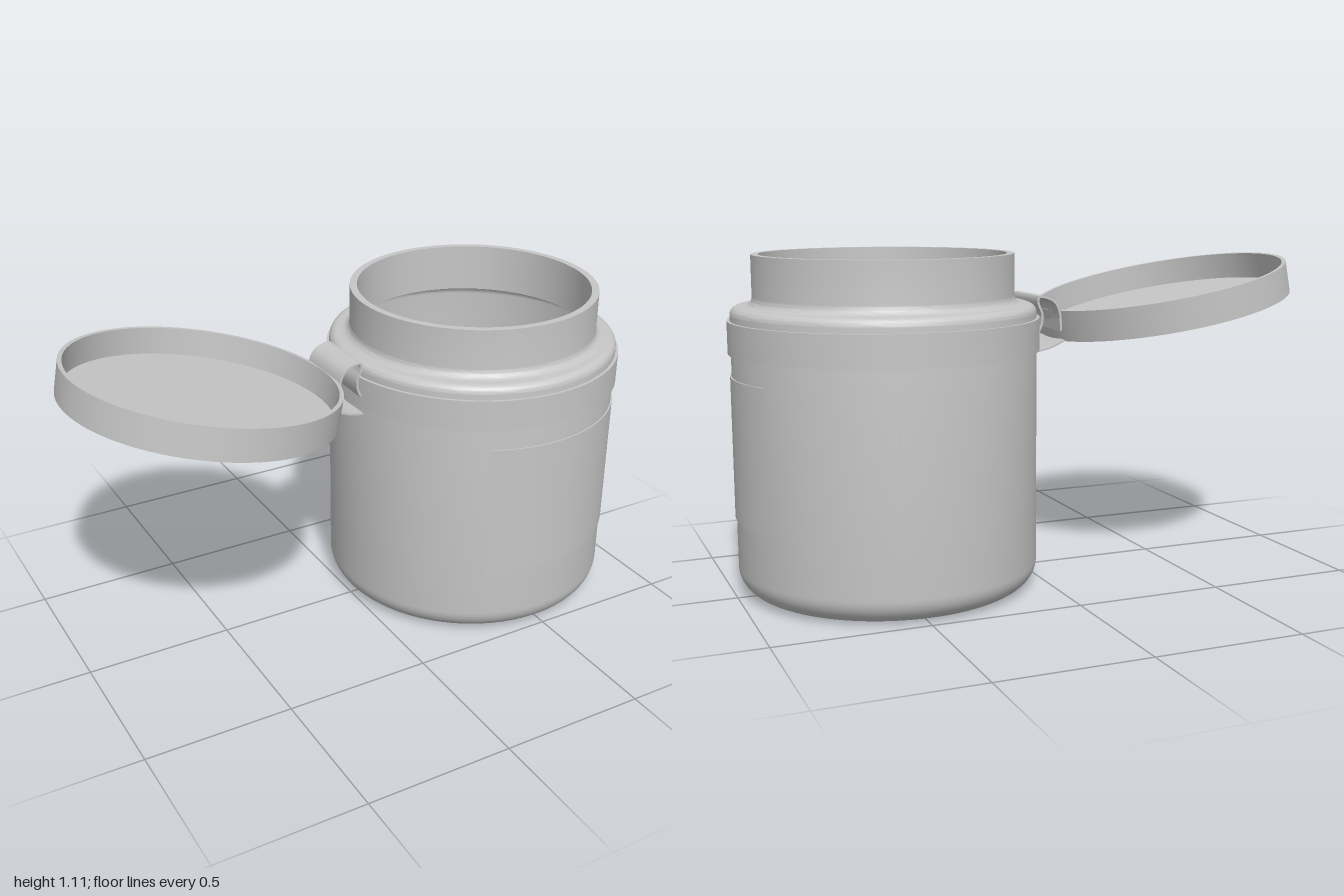
import * as THREE from 'three';
import { toCreasedNormals } from 'three/addons/utils/BufferGeometryUtils.js';

const SEGMENTS = 112;
const JAR_X = 0.485;

export function createModel() {
  const model = new THREE.Group();
  model.name = 'flipTopJar';
  const plastic = new THREE.MeshStandardMaterial({ color: 0xc6c6c6 });
  plastic.name = 'greyPlastic';

  const add = (name, geometry, parent) => {
    const mesh = new THREE.Mesh(toCreasedNormals(geometry, 0.5), plastic);
    mesh.name = name;
    parent.add(mesh);
    return mesh;
  };
  // Revolved profile, listed from the outside bottom, up and round to the inside
  const lathe = (points, start = 0, length = Math.PI * 2) =>
    new THREE.LatheGeometry(points.map(([r, y]) => new THREE.Vector2(r, y)), SEGMENTS, start, length);
  // Points of a rounded corner in a profile
  const arc = (cx, cy, radius, from, to, steps = 8) =>
    Array.from({ length: steps + 1 }, (_, i) => {
      const a = THREE.MathUtils.degToRad(from + ((to - from) * i) / steps);
      return [cx + radius * Math.cos(a), cy + radius * Math.sin(a)];
    });

  const jar = new THREE.Group();
  jar.name = 'jar';
  jar.position.x = JAR_X;
  model.add(jar);

  // Hollow body with rounded base, shoulder and open neck
  add('jarBody', lathe([
    [0, 0],
    ...arc(0.415, 0.085, 0.085, -90, 0, 12),
    ...arc(0.472, 0.917, 0.028, 0, 90),
    ...arc(0.458, 0.975, 0.03, -90, -180),
    [0.428, 1.11], [0.403, 1.11], [0.403, 0.945],
    ...arc(0.445, 0.9, 0.03, 90, 0),
    ...arc(0.405, 0.1, 0.07, 0, -90),
    [0, 0.03],
  ]), jar);

  // Raised collar under the shoulder
  add('collarBand', lathe([
    [0.495, 0.793], [0.51, 0.793], [0.51, 0.9], [0.495, 0.9],
  ]), jar);

  // Thin label panel wrapping the front left quarter
  const labelStart = THREE.MathUtils.degToRad(-25);
  const labelLength = THREE.MathUtils.degToRad(141.5);
  add('labelPanel', lathe([
    [0.498, 0.255], [0.505, 0.255], [0.505, 0.72], [0.498, 0.72],
  ], labelStart, labelLength), jar);

  // Open lid lying upside down, tilted towards the jar
  const lid = add('lid', lathe([
    [0, 0], [0.451, 0], [0.451, 0.107], [0.437, 0.107], [0.437, 0.014], [0, 0.014],
  ]), model);
  lid.position.set(-0.555, 0.888, 0);
  lid.rotation.z = THREE.MathUtils.degToRad(-11.2);

  // Bent strip of even thickness, extruded across z
  const strap = (name, points, width, thickness) => {
    const curve = new THREE.CatmullRomCurve3(points.map(([x, y]) => new THREE.Vector3(x, y, 0)), false, 'centripetal');
    const steps = 28;
    const upper = [], lower = [];
    for (let i = 0; i <= steps; i++) {
      const p = curve.getPoint(i / steps), t = curve.getTangent(i / steps);
      const nx = (-t.y * thickness) / 2, ny = (t.x * thickness) / 2;
      upper.push(new THREE.Vector2(p.x + nx, p.y + ny));
      lower.unshift(new THREE.Vector2(p.x - nx, p.y - ny));
    }
    const geometry = new THREE.ExtrudeGeometry(new THREE.Shape([...upper, ...lower]), { depth: width, bevelEnabled: false });
    geometry.translate(0, 0, -width / 2);
    add(name, geometry, hinge);
  };

  const hinge = new THREE.Group();
  hinge.name = 'hinge';
  model.add(hinge);
  // Arched spring strap, then the flat living hinge beneath it
  strap('hingeArch', [
    [-0.104, 0.84], [-0.1, 0.9], [-0.085, 0.935], [-0.055, 0.953], [-0.024, 0.957],
    [-0.021, 0.935], [-0.035, 0.9], [-0.033, 0.865], [-0.022, 0.84],
  ], 0.215, 0.008);
  strap('hingeStrip', [[-0.118, 0.806], [-0.07, 0.785], [-0.012, 0.772]], 0.215, 0.006);

  return model;
}
